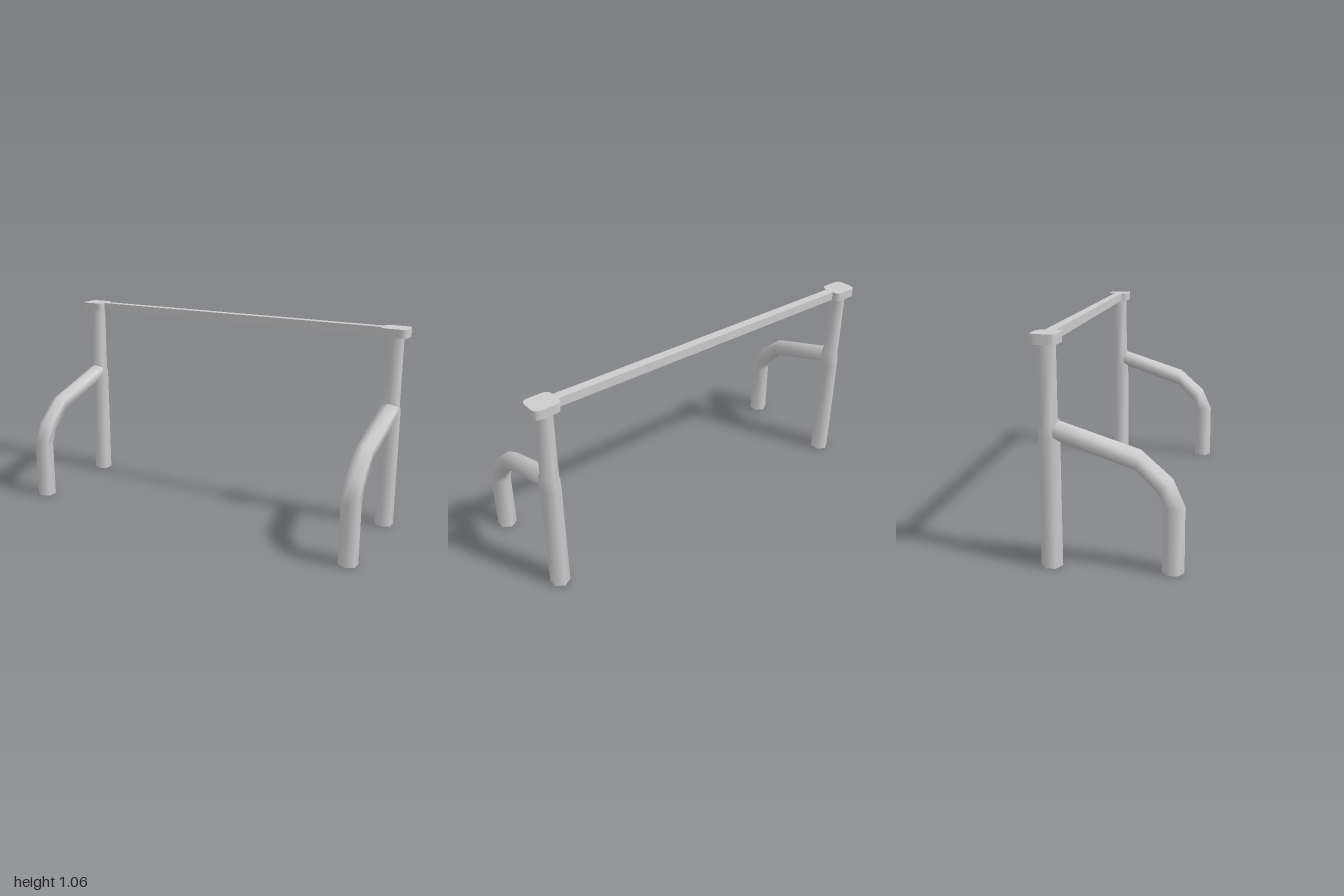
import * as THREE from 'three';

const material = new THREE.MeshStandardMaterial({ color: 0xcccccc, side: THREE.DoubleSide });
const SIDES = 6;

// Open six-sided tube; each ring is [outerZ, outerY, innerZ, innerY, radiusAcrossX]
function tube(rings) {
  const positions = [], index = [];
  rings.forEach(([oz, oy, iz, iy, r], i) => {
    for (let j = 0; j < SIDES; j++) {
      const a = (j / SIDES) * Math.PI * 2, c = Math.cos(a) / 2;
      positions.push(Math.sin(a) * r, (oy + iy) / 2 + c * (oy - iy), (oz + iz) / 2 + c * (oz - iz));
      if (i === 0) continue;
      const k = (j + 1) % SIDES, lo = (i - 1) * SIDES, hi = i * SIDES;
      index.push(lo + j, lo + k, hi + k, lo + j, hi + k, hi + j);
    }
  });
  const g = new THREE.BufferGeometry();
  g.setAttribute('position', new THREE.Float32BufferAttribute(positions, 3));
  g.setIndex(index);
  g.computeVertexNormals();
  return g;
}

// Flat disc with rounded corners that sits on a post
function capGeometry() {
  const w = 0.069, d = 0.06, x = 0.032, y = 0.027;
  const s = new THREE.Shape();
  s.moveTo(w, -y);
  s.lineTo(w, y);
  s.quadraticCurveTo(w, d, x, d);
  s.lineTo(-x, d);
  s.quadraticCurveTo(-w, d, -w, y);
  s.lineTo(-w, -y);
  s.quadraticCurveTo(-w, -d, -x, -d);
  s.lineTo(x, -d);
  s.quadraticCurveTo(w, -d, w, -y);
  return new THREE.ExtrudeGeometry(s, { depth: 0.045, bevelEnabled: false, curveSegments: 4 })
    .rotateX(-Math.PI / 2);
}

export function createModel() {
  const model = new THREE.Group();
  const add = (parent, name, geometry, x, y, z) => {
    const mesh = new THREE.Mesh(geometry, material);
    mesh.name = name;
    mesh.position.set(x, y, z);
    parent.add(mesh);
  };

  // Upright that narrows above the joint
  const post = tube([
    [-0.22, 0, -0.32, 0, 0.05],
    [-0.22, 0.61, -0.32, 0.585, 0.05],
    [-0.22, 0.675, -0.318, 0.62, 0.049],
    [-0.229, 0.69, -0.316, 0.64, 0.0435],
    [-0.229, 1.016, -0.316, 1.016, 0.0435],
  ]);
  // Bent leg that rises from the ground and runs back into the upright
  const leg = tube([
    [0.33, 0, 0.23, 0, 0.05],
    [0.33, 0.31, 0.23, 0.31, 0.05],
    [0.275, 0.435, 0.205, 0.37, 0.05],
    [0.135, 0.56, 0.115, 0.463, 0.05],
    [-0.22, 0.675, -0.22, 0.578, 0.05],
    [-0.25, 0.685, -0.25, 0.588, 0.048],
  ]);
  const cap = capGeometry();

  for (const [side, x] of [['left', 0.931], ['right', -0.931]]) {
    const frame = new THREE.Group();
    frame.name = side + 'Frame';
    add(frame, side + 'Post', post, x, 0, 0);
    add(frame, side + 'FrontLeg', leg, x, 0, 0);
    add(frame, side + 'Cap', cap, x, 1.015, -0.272);
    model.add(frame);
  }

  // Crossbar between the caps
  add(model, 'crossbar', new THREE.BoxGeometry(1.726, 0.045, 0.046), 0, 1.0375, -0.272);
  return model;
}
